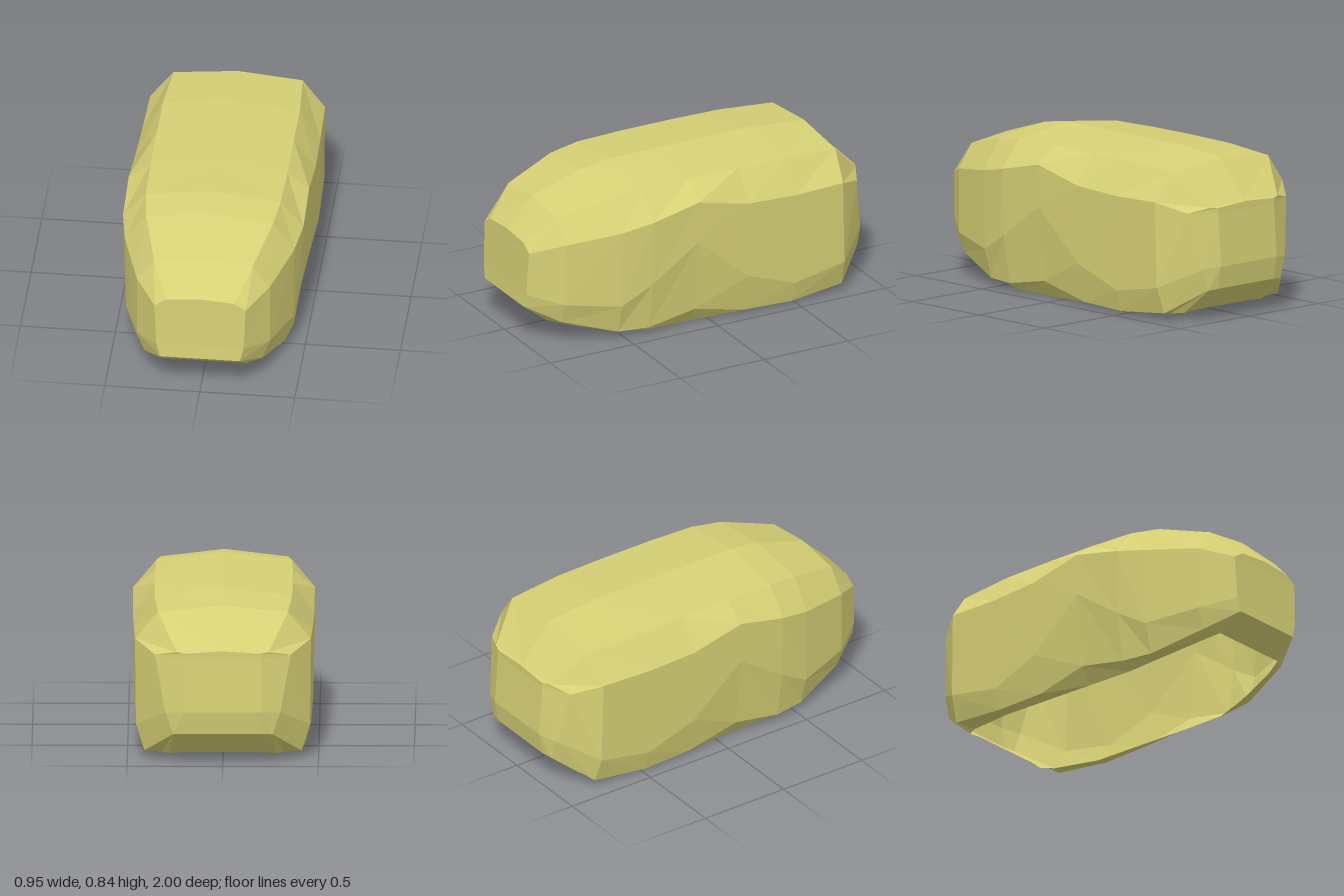
import * as THREE from 'three';

// Each station: z, ridge height, then [x, y, z shift] for shoulder, upper side,
// lower side, outer rim and inner rim of the +x half.
const stations = [
  [0.985, 0.575, [0.18, 0.56], [0.24, 0.52], [0.23, 0.285, 0.01], [0.21, 0.21, 0.015], [0.23, 0.115, -0.11]],
  [0.83, 0.73, [0.26, 0.70], [0.35, 0.575], [0.35, 0.235], [0.31, 0.125], [0.27, 0.085, -0.05]],
  [0.54, 0.82, [0.335, 0.78], [0.445, 0.62], [0.44, 0.2], [0.395, 0.04], [0.335, 0.03]],
  [0.37, 0.843, [0.355, 0.80], [0.475, 0.655], [0.465, 0.3], [0.425, 0.04], [0.365, 0]],
  [0.1, 0.843, [0.36, 0.805], [0.475, 0.715], [0.475, 0.49], [0.43, 0.09], [0.37, 0]],
  [-0.2, 0.843, [0.36, 0.805], [0.475, 0.645], [0.47, 0.23], [0.425, 0.02], [0.37, 0.003]],
  [-0.48, 0.842, [0.36, 0.80], [0.468, 0.63], [0.46, 0.125], [0.43, 0.012], [0.37, 0.005]],
  [-0.79, 0.815, [0.34, 0.782], [0.46, 0.635, 0.02], [0.455, 0.18, 0.01], [0.41, 0.04], [0.32, 0.02, 0.05]],
  [-0.965, 0.615, [0.24, 0.605], [0.355, 0.58, 0.055], [0.3, 0.28, 0.005], [0.26, 0.165], [0.28, 0.028, 0.16]],
  [-0.98, 0.612, [0.2, 0.6], [0.2, 0.57], [0.2, 0.29, -0.02], [0.2, 0.17], [0.2, 0.032, 0.18]],
];

// Full arch from the +x rim over the ridge to the -x rim
function arch([z, ridge, ...side]) {
  const half = side.map(([x, y, dz = 0]) => new THREE.Vector3(x, y, z + dz));
  const mirrored = half.map((p) => new THREE.Vector3(-p.x, p.y, p.z));
  return [...half.reverse(), new THREE.Vector3(0, ridge, z), ...mirrored];
}

function shellGeometry() {
  const rings = stations.map(arch);
  const corners = [];
  const tri = (...p) => p.forEach((v) => corners.push(v.x, v.y, v.z));
  const last = rings[0].length - 1;
  const mid = last / 2;

  // Skin between neighbouring arches, with mirrored diagonals
  for (let i = 0; i < rings.length - 1; i++) {
    for (let j = 0; j < last; j++) {
      const a = rings[i][j], b = rings[i][j + 1];
      const d = rings[i + 1][j], c = rings[i + 1][j + 1];
      if (j < mid) { tri(a, d, c); tri(a, c, b); }
      else { tri(a, d, b); tri(b, d, c); }
    }
  }

  // End walls, filled row by row down to the inner rim
  const wall = (ring, front) => {
    const face = (a, b, c) => (front ? tri(a, b, c) : tri(a, c, b));
    for (let j = 0; j < mid; j++) {
      const a = ring[j], b = ring[j + 1], c = ring[last - j - 1], d = ring[last - j];
      face(a, b, d);
      if (j < mid - 1) face(b, c, d);
    }
  };
  wall(rings[0], true);
  wall(rings[rings.length - 1], false);

  const geometry = new THREE.BufferGeometry();
  geometry.setAttribute('position', new THREE.Float32BufferAttribute(corners, 3));
  geometry.computeVertexNormals();
  return geometry;
}

export function createModel() {
  const model = new THREE.Group();
  model.name = 'openShell';

  const yellow = new THREE.MeshStandardMaterial({ color: 0xd6d075, flatShading: true, side: THREE.DoubleSide });
  yellow.name = 'paleYellow';

  // Faceted cover, open underneath
  const shell = new THREE.Mesh(shellGeometry(), yellow);
  shell.name = 'shell';
  model.add(shell);
  return model;
}
